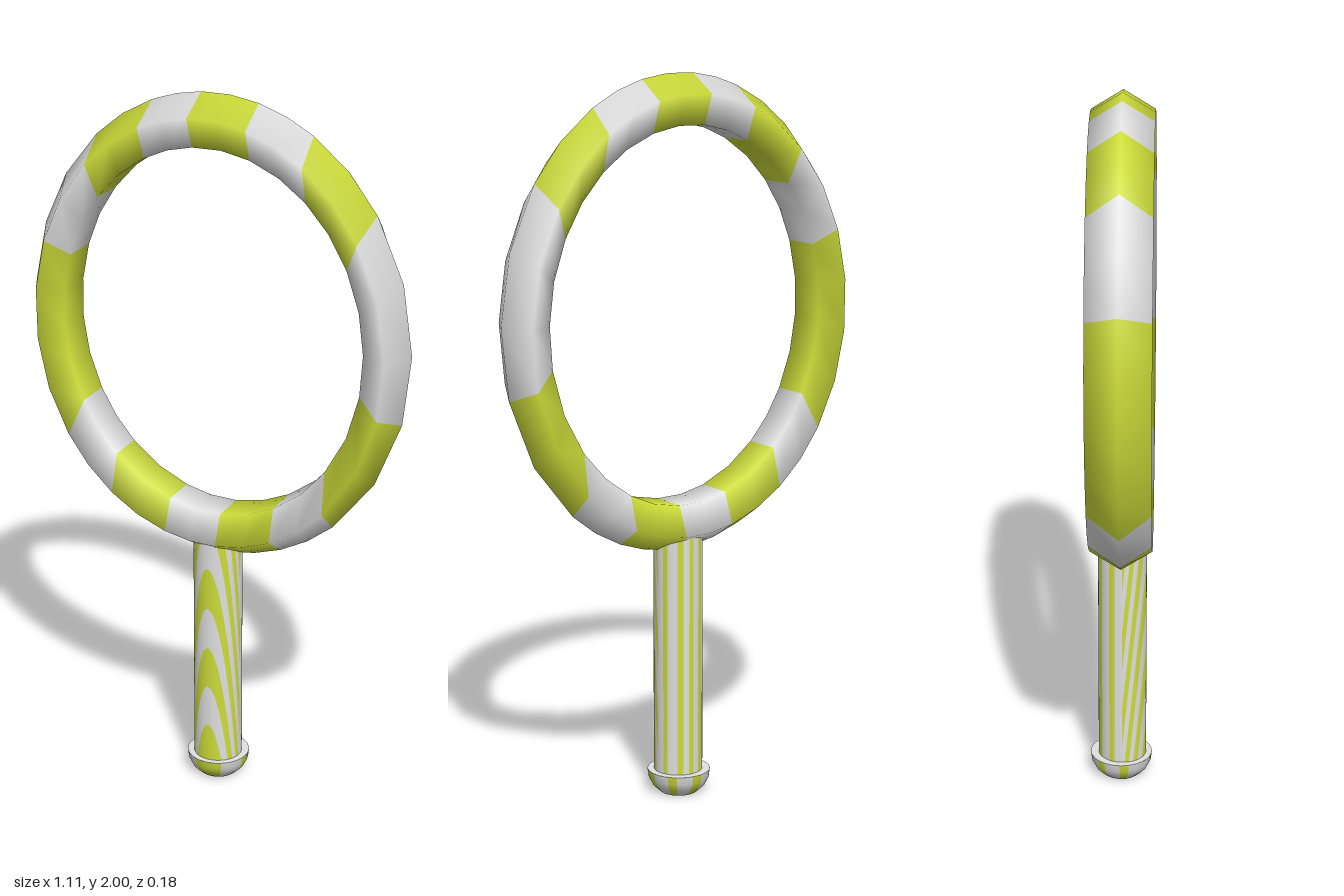
import * as THREE from 'three';

const lime = new THREE.MeshStandardMaterial({ color: 0xcddc39 });
lime.name = 'lime';
const white = new THREE.MeshStandardMaterial({ color: 0xe0e0e0 });
white.name = 'paleGrey';
const colours = [lime, white];
const rad = THREE.MathUtils.degToRad;

// Smooth grid of nu x nv cells; each cell gets a material index, either direction may wrap
function gridGeometry(nu, nv, wrap, point, colour) {
  const cols = wrap ? nu : nu + 1, rows = wrap ? nv : nv + 1;
  const positions = [], byColour = [[], []];
  for (let i = 0; i < cols; i++) for (let j = 0; j < rows; j++) positions.push(...point(i, j));
  const id = (i, j) => (i % cols) * rows + (j % rows);
  for (let i = 0; i < nu; i++) {
    for (let j = 0; j < nv; j++) {
      const a = id(i, j), b = id(i + 1, j), c = id(i + 1, j + 1), d = id(i, j + 1);
      byColour[colour(i, j)].push(a, b, c, a, c, d);
    }
  }
  const g = new THREE.BufferGeometry();
  g.setAttribute('position', new THREE.Float32BufferAttribute(positions, 3));
  g.setIndex(byColour.flat());
  g.addGroup(0, byColour[0].length, 0);
  g.addGroup(byColour[0].length, byColour[1].length, 1);
  g.computeVertexNormals();
  return g;
}

// Oval hoop with a five-sided section; stripe edges given as [inner, outer] angles
function makeHoop() {
  const edges = [
    [28, 36], [52, 61], [75, 78], [96.5, 95], [115.6, 110], [138.6, 130], [161, 159],
    [209, 219], [229.5, 240], [254, 257.5], [274, 273], [295.6, 290], [320, 308], [349, 344],
  ];
  const stations = [];
  edges.forEach((e, k) => {
    const last = k === edges.length - 1;
    const next = last ? edges[0].map((a) => a + 360) : edges[k + 1];
    const n = Math.max(2, Math.round((next[0] + next[1] - e[0] - e[1]) / 2 / 15));
    for (let s = 0; s < n; s++) {
      const f = s / n;
      stations.push({
        inner: rad(e[0] + (next[0] - e[0]) * f),
        outer: rad(e[1] + (next[1] - e[1]) * f),
        colour: k % 2,
      });
    }
  });
  const R = 0.491, r = 0.0636;
  const geometry = gridGeometry(stations.length, 5, true, (i, j) => {
    const v = (j / 5) * Math.PI * 2;
    const s = stations[i];
    const mix = (Math.cos(v) + 0.809) / 1.809;
    const t = s.inner + (s.outer - s.inner) * mix;
    const d = R + r * Math.cos(v);
    return [d * Math.cos(t), 1.35 + 1.172 * d * Math.sin(t), 1.405 * r * Math.sin(v)];
  }, (i) => stations[i].colour);
  const mesh = new THREE.Mesh(geometry, colours);
  mesh.name = 'hoop';
  return mesh;
}

// Handle: arched stripes across the front half, upright stripes on the back half
function makeHandle() {
  const group = new THREE.Group();
  group.name = 'handle';
  const r = 0.068, low = 0.05, high = 0.75;
  const frontGeometry = gridGeometry(32, 12, false, (i, j) => {
    const phi = (i / 32 - 0.5) * Math.PI;
    const z = r * Math.cos(phi);
    const y = 0.055 + 0.123 * j + 10 * (z - r);
    return [r * Math.sin(phi), THREE.MathUtils.clamp(j === 12 ? high : y, low, high), z];
  }, (i, j) => j % 2);
  const front = new THREE.Mesh(frontGeometry, colours);
  front.name = 'handleFront';
  group.add(front);

  const cuts = [90, 108, 120, 144, 158, 172, 184, 200, 214, 238, 252, 270];
  for (let k = 0; k < cuts.length - 1; k++) {
    const g = new THREE.CylinderGeometry(r, r, high - low, 2, 1, true,
      rad(cuts[k]), rad(cuts[k + 1] - cuts[k]));
    const strip = new THREE.Mesh(g, colours[(k + 1) % 2]);
    strip.position.y = (high + low) / 2;
    strip.name = 'handleBackStrip';
    group.add(strip);
  }
  return group;
}

// Rounded end cap with a flat rim on top
function makePommel() {
  const group = new THREE.Group();
  group.name = 'pommel';
  const profile = [[0, 0], [0.053, 0], [0.074, 0.02], [0.085, 0.042], [0.088, 0.065]]
    .map(([x, y]) => new THREE.Vector2(x, y));
  const cuts = [-22, 30, 75, 95, 125, 142, 172, 192, 222, 238, 268, 285, 338];
  for (let k = 0; k < cuts.length - 1; k++) {
    const span = cuts[k + 1] - cuts[k];
    const g = new THREE.LatheGeometry(profile, Math.max(1, Math.round(span / 18)),
      rad(cuts[k]), rad(span));
    const wedge = new THREE.Mesh(g, colours[k % 2]);
    wedge.name = 'pommelWedge';
    group.add(wedge);
  }
  const rim = new THREE.Mesh(new THREE.RingGeometry(0.05, 0.088, 24), white);
  rim.rotation.x = -Math.PI / 2;
  rim.position.y = 0.065;
  rim.name = 'pommelRim';
  group.add(rim);
  group.position.z = -0.003;
  return group;
}

export function createModel() {
  const model = new THREE.Group();
  model.name = 'stripedHoopWand';
  model.add(makeHoop(), makeHandle(), makePommel());
  return model;
}
